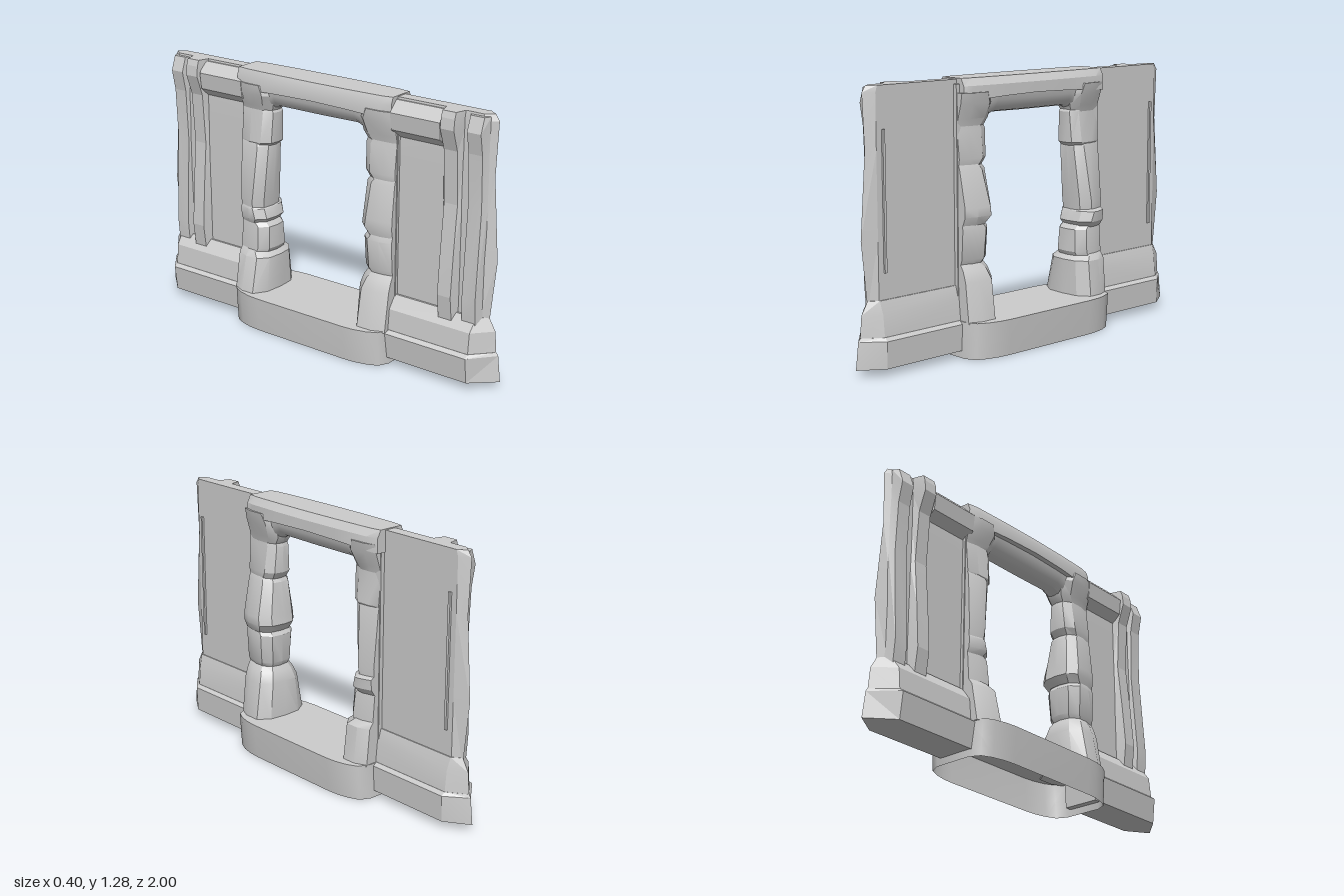
import * as THREE from 'three';
import { toCreasedNormals } from 'three/addons/utils/BufferGeometryUtils.js';

const material = new THREE.MeshStandardMaterial({ color: 0xcccccc, side: THREE.DoubleSide });

// Skins a stack of equal-length rings; the winding is corrected from the signed volume.
function loft(name, rings, { crease = 0.5, capStart = true, capEnd = true } = {}) {
  const n = rings[0].length, tris = [];
  for (let i = 0; i < rings.length - 1; i++) {
    for (let j = 0; j < n; j++) {
      const k = (j + 1) % n, a = rings[i], b = rings[i + 1];
      tris.push([a[j], b[j], b[k]], [a[j], b[k], a[k]]);
    }
  }
  const first = rings[0], last = rings[rings.length - 1];
  for (let j = 1; j < n - 1; j++) {
    if (capStart) tris.push([first[0], first[j], first[j + 1]]);
    if (capEnd) tris.push([last[0], last[j + 1], last[j]]);
  }
  const center = new THREE.Vector3();
  rings.flat().forEach(p => center.add(new THREE.Vector3(...p)));
  center.divideScalar(n * rings.length);
  let volume = 0;
  for (const t of tris) {
    const [a, b, c] = t.map(p => new THREE.Vector3(...p).sub(center));
    volume += a.dot(b.cross(c));
  }
  if (volume < 0) tris.forEach(t => t.reverse());
  const geometry = new THREE.BufferGeometry();
  geometry.setAttribute('position', new THREE.Float32BufferAttribute(tris.flat(2), 3));
  const mesh = new THREE.Mesh(toCreasedNormals(geometry, crease), material);
  mesh.name = name;
  return mesh;
}

// Wall section: flat sides running from the post to a pointed outer end.
// Rows are [y, xRight, xLeft, zShoulder, zTip].
function wallPart(name, rows, s) {
  return loft(name, rows.map(([y, x0, x1, shoulder, tip]) => [
    [x0, y, 0.42 * s], [x0, y, shoulder * s], [0, y, tip * s], [x1, y, shoulder * s], [x1, y, 0.42 * s]
  ]), { crease: 0.2 });
}

// Upright bar between two z values whose face follows [y, x] rows.
function bar(name, rows, zIn, zOut, back, s) {
  return loft(name, rows.map(([y, x]) => [
    [back, y, zIn * s], [x, y, (zIn + 0.015) * s], [x, y, (zOut - 0.015) * s], [back, y, zOut * s]
  ]), { crease: 0.15 });
}

function createWall(s) {
  const wall = new THREE.Group();
  wall.name = s > 0 ? 'frontWall' : 'backWall';
  wall.add(
    wallPart('lowerFooting', [[0.04, -0.105, 0.075, 0.885, 1], [0.165, -0.12, 0.08, 0.885, 0.985],
      [0.18, -0.1, 0.062, 0.885, 0.975]], s),
    wallPart('upperFooting', [[0.17, -0.1, 0.062, 0.885, 0.975], [0.28, -0.09, 0.052, 0.885, 0.965],
      [0.34, -0.045, 0.035, 0.89, 0.93]], s),
    wallPart('wallPanel', [[0.3, -0.035, 0.03, 0.89, 0.93], [0.61, -0.035, 0.03, 0.89, 0.96],
      [1.0, -0.035, 0.03, 0.89, 0.93], [1.25, -0.035, 0.03, 0.89, 0.94], [1.28, -0.03, 0.03, 0.88, 0.92]], s),
    bar('pilaster', [[0.3, -0.07], [0.42, -0.085], [0.63, -0.07], [0.85, -0.05], [1.1, -0.065],
      [1.2, -0.1], [1.25, -0.095], [1.28, -0.085]], 0.69, 0.79, -0.03, s),
    bar('endPost', [[0.3, -0.06], [0.42, -0.07], [0.85, -0.045], [1.1, -0.055],
      [1.2, -0.075], [1.27, -0.05]], 0.81, 0.91, -0.02, s),
    bar('topRail', [[1.1, -0.035], [1.14, -0.08], [1.22, -0.09], [1.27, -0.04]], 0.42, 0.71, -0.03, s)
  );
  // Thin raised strip on the plain side
  const strip = new THREE.Mesh(new THREE.BoxGeometry(0.014, 0.63, 0.012), material);
  strip.position.set(0.033, 0.775, 0.855 * s);
  strip.name = 'sideStrip';
  wall.add(strip);
  return wall;
}

// Stacked stones, each a list of [y, xRight, xLeft, zInner] rows.
const frontStones = [
  [[0.17, 0.155, 0.145, 0.26], [0.36, 0.12, 0.12, 0.26], [0.41, 0.1, 0.1, 0.275], [0.45, 0.075, 0.07, 0.3]],
  [[0.43, 0.08, 0.075, 0.295], [0.46, 0.09, 0.09, 0.28], [0.6, 0.1, 0.1, 0.275], [0.64, 0.085, 0.09, 0.3]],
  [[0.62, 0.09, 0.1, 0.285], [0.66, 0.1, 0.12, 0.26], [0.7, 0.1, 0.12, 0.265], [0.87, 0.08, 0.078, 0.28],
    [0.9, 0.07, 0.065, 0.3]],
  [[0.88, 0.07, 0.065, 0.295], [0.92, 0.08, 0.075, 0.27], [1.05, 0.065, 0.058, 0.265], [1.09, 0.06, 0.055, 0.28]],
  [[1.06, 0.06, 0.055, 0.275], [1.1, 0.07, 0.065, 0.25], [1.17, 0.095, 0.09, 0.24], [1.22, 0.1, 0.1, 0.26]]
];
const backStones = [
  [[0.17, 0.165, 0.145, 0.27], [0.35, 0.125, 0.125, 0.272], [0.38, 0.1, 0.1, 0.305]],
  [[0.36, 0.1, 0.1, 0.3], [0.39, 0.1, 0.1, 0.285], [0.5, 0.09, 0.09, 0.29], [0.53, 0.085, 0.085, 0.32]],
  [[0.51, 0.085, 0.09, 0.32], [0.54, 0.1, 0.115, 0.3], [0.59, 0.1, 0.12, 0.315], [0.6, 0.095, 0.1, 0.325]],
  [[0.55, 0.09, 0.09, 0.325], [0.64, 0.1, 0.1, 0.315], [0.91, 0.085, 0.07, 0.29], [0.945, 0.07, 0.06, 0.305]],
  [[0.91, 0.07, 0.06, 0.295], [0.93, 0.08, 0.07, 0.275], [1.08, 0.065, 0.055, 0.268], [1.11, 0.06, 0.055, 0.285]],
  [[1.08, 0.06, 0.055, 0.28], [1.11, 0.07, 0.065, 0.265], [1.17, 0.095, 0.09, 0.25], [1.22, 0.1, 0.1, 0.265]]
];

function createPost(stones, s) {
  const post = new THREE.Group();
  post.name = s > 0 ? 'frontPost' : 'backPost';
  stones.forEach((rows, i) => post.add(loft('postStone' + (i + 1), rows.map(([y, r, l, z]) => [
    [-r * 0.82, y, 0.45 * s], [-r, y, 0.39 * s], [-r, y, (z + 0.05) * s], [-r * 0.6, y, (z + 0.008) * s],
    [0, y, z * s],
    [l * 0.6, y, (z + 0.008) * s], [l, y, (z + 0.05) * s], [l, y, 0.39 * s], [l * 0.82, y, 0.45 * s]
  ]))));
  // Plain core that carries the stones and meets the wall
  const core = new THREE.Mesh(new THREE.BoxGeometry(0.1, 1.08, 0.12), material);
  core.position.set(0, 0.72, 0.395 * s);
  core.name = 'postCore';
  post.add(core);
  return post;
}

// Sill: rounded in plan, slightly dished on top and open underneath
function createSill() {
  const corner = [[0.2, 0.26], [0.195, 0.32], [0.18, 0.38], [0.155, 0.43], [0.1, 0.455]];
  const half = [[0.2, 0], ...corner];
  const right = half.map(([x, z]) => [-x, z]);
  const upper = [...half, ...right.reverse()];
  const outline = [...upper, ...upper.slice(1, -1).reverse().map(([x, z]) => [x, -z])];
  const ring = (y, f) => outline.map(([x, z]) => [x * f, y, z]);
  return loft('sill', [ring(0.005, 0.93), ring(0.09, 0.97), ring(0.178, 1)], { crease: 0.7, capStart: false });
}

function createLintel() {
  const lintel = new THREE.Group();
  lintel.name = 'lintel';
  // Slightly bowed beam
  const sections = [[-0.46, 0.8, 1.18], [-0.4, 0.92, 1.185], [-0.2, 1, 1.195], [0, 1.03, 1.2],
    [0.2, 1, 1.195], [0.38, 0.92, 1.185], [0.435, 0.8, 1.18]];
  lintel.add(loft('lintelBeam', sections.map(([z, f, y]) => [
    [-0.085 * f, 1.285, z], [0.075 * f, 1.285, z], [0.098 * f, 1.25, z],
    [0.098 * f, y, z], [-0.098 * f, y, z], [-0.1 * f, 1.25, z]
  ])));
  // Rounded moulding under the beam, flaring into the posts
  const moulding = [[-0.38, 1.06], [-0.29, 1.09], [-0.25, 1.112], [0, 1.112], [0.22, 1.115], [0.27, 1.09], [0.38, 1.06]];
  lintel.add(loft('underMoulding', moulding.map(([z, y]) => {
    const ring = [];
    for (let i = 0; i <= 8; i++) {
      const a = Math.PI * i / 8;
      ring.push([0.075 * Math.cos(a), 1.21 - (1.21 - y) * Math.sin(a), z]);
    }
    return ring;
  })));
  return lintel;
}

export function createModel() {
  const model = new THREE.Group();
  model.name = 'doorwayWall';
  model.add(createSill(), createLintel(), createPost(frontStones, 1), createPost(backStones, -1));
  for (const s of [1, -1]) model.add(createWall(s));
  return model;
}
